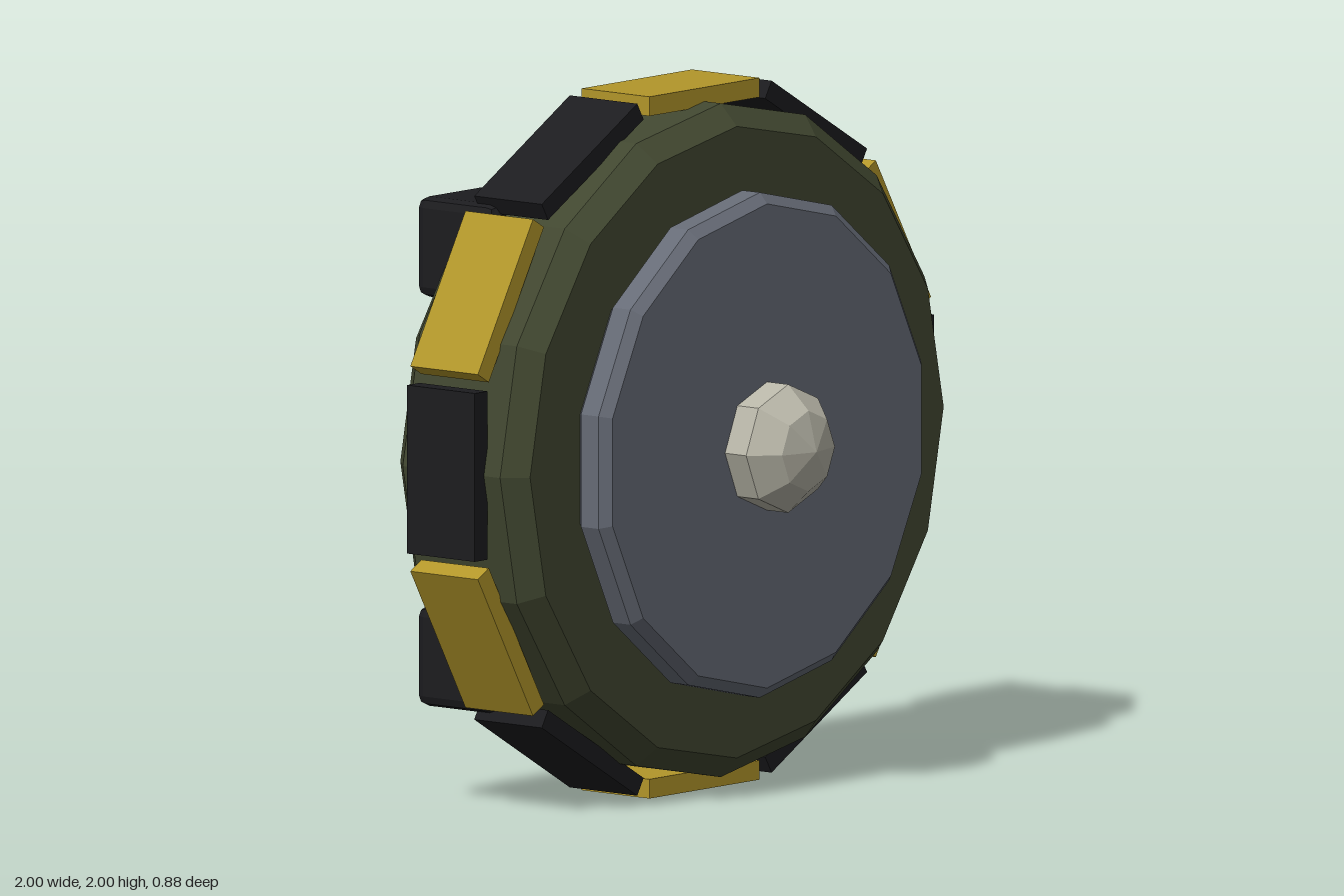
import * as THREE from 'three';
import { RoundedBoxGeometry } from 'three/addons/geometries/RoundedBoxGeometry.js';

const mat = (color) => new THREE.MeshStandardMaterial({ color, flatShading: true });

// Faceted disc turned around the z axis; profile is [radius, z] from back to front
function turned(name, profile, sides, material) {
  const points = profile.map(([r, z]) => new THREE.Vector2(r, z));
  const geometry = new THREE.LatheGeometry(points, sides).rotateX(Math.PI / 2);
  const mesh = new THREE.Mesh(geometry, material);
  mesh.name = name;
  mesh.position.y = 1;
  return mesh;
}

export function createModel() {
  const model = new THREE.Group();
  model.name = 'discDevice';
  const green = mat(0x414730);
  const steel = mat(0x666b76);
  const pale = mat(0xb8b6a8);
  const yellow = mat(0xb2962a);
  const black = mat(0x1c1c1f);

  // Main body, raised plate and central button
  model.add(
    turned('body', [[0, -0.34], [0.9, -0.34], [0.96, -0.28], [0.96, 0.08], [0.9, 0.14], [0, 0.14]], 16, green),
    turned('frontPlate', [[0, 0.13], [0.69, 0.13], [0.72, 0.16], [0.72, 0.225], [0.69, 0.252], [0, 0.252]], 14, steel),
    turned('button', [[0, 0.24], [0.183, 0.24], [0.183, 0.33], [0.115, 0.405], [0, 0.435]], 8, pale)
  );

  // Alternating warning tiles around the rim
  const tileGeometry = new THREE.BoxGeometry(0.48, 0.055, 0.25);
  for (let i = 0; i < 12; i++) {
    const angle = (i * Math.PI) / 6;
    const tile = new THREE.Mesh(tileGeometry, i % 2 ? black : yellow);
    tile.name = i % 2 ? 'blackRimTile' : 'yellowRimTile';
    tile.position.set(Math.sin(angle) * 0.9725, 1 + Math.cos(angle) * 0.9725, -0.105);
    tile.rotation.z = -angle;
    model.add(tile);
  }

  // Four chamfered feet on the back
  const footGeometry = new RoundedBoxGeometry(0.286, 0.286, 0.286, 1, 0.03);
  for (const x of [-1, 1]) {
    for (const y of [-1, 1]) {
      const foot = new THREE.Mesh(footGeometry, black);
      foot.name = `${y > 0 ? 'upper' : 'lower'}${x > 0 ? 'Left' : 'Right'}Foot`;
      foot.position.set(x * 0.577, 1 + y * 0.583, -0.297);
      model.add(foot);
    }
  }
  return model;
}
